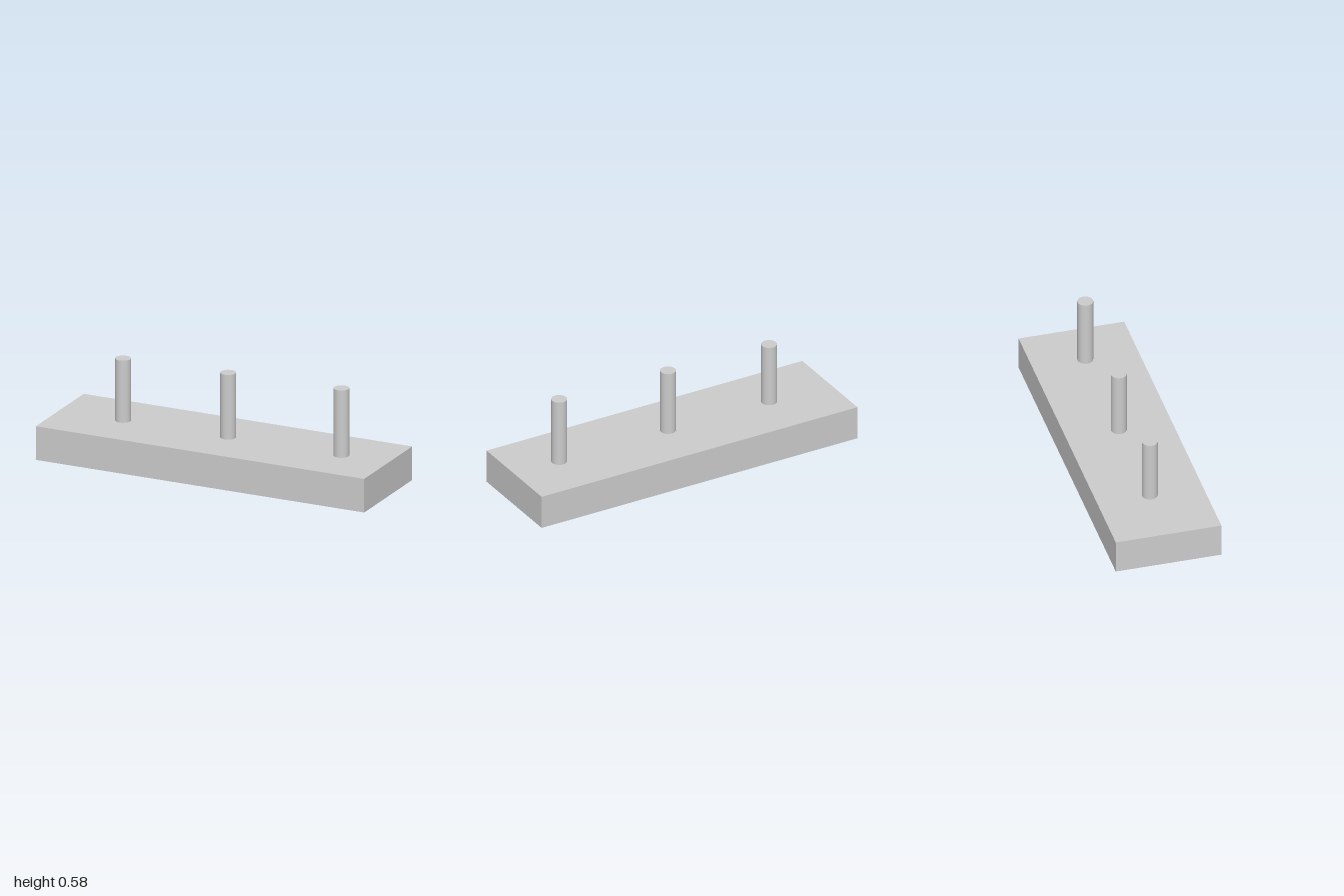
import * as THREE from 'three';

const grey = new THREE.MeshStandardMaterial({ color: 0xcccccc });
const yellow = new THREE.MeshStandardMaterial({ color: 0xd0b820 });
const navy = new THREE.MeshStandardMaterial({ color: 0x36424f });

const LENGTH = 2, DEPTH = 0.6, HEIGHT = 0.195, WALL = 0.03;

function add(parent, name, geometry, material, x, y, z) {
  const mesh = new THREE.Mesh(geometry, material);
  mesh.name = name;
  mesh.position.set(x, y, z);
  parent.add(mesh);
  return mesh;
}

// Cylinder lying along x
function barX(radius, length, sides) {
  return new THREE.CylinderGeometry(radius, radius, length, sides).rotateZ(Math.PI / 2);
}

// Housing open at the bottom: a rectangular rim under a closed top plate
function buildHousing() {
  const housing = new THREE.Group();
  housing.name = 'housing';
  const rect = (target, w, d) => {
    target.moveTo(-w / 2, -d / 2);
    target.lineTo(w / 2, -d / 2);
    target.lineTo(w / 2, d / 2);
    target.lineTo(-w / 2, d / 2);
    target.closePath();
    return target;
  };
  const rim = rect(new THREE.Shape(), LENGTH, DEPTH);
  rim.holes.push(rect(new THREE.Path(), LENGTH - 2 * WALL, DEPTH - 2 * WALL));
  const walls = new THREE.ExtrudeGeometry(rim, { depth: HEIGHT - WALL, bevelEnabled: false });
  walls.rotateX(-Math.PI / 2);
  add(housing, 'sideWalls', walls, grey, 0, 0, 0);
  add(housing, 'topPlate', new THREE.BoxGeometry(LENGTH, WALL, DEPTH), grey, 0, HEIGHT - WALL / 2, 0);
  return housing;
}

// Lamp tube with a socket and a short mounting neck at both ends
function buildLamp(z) {
  const lamp = new THREE.Group();
  lamp.name = 'lamp';
  lamp.position.set(0, 0.081, z);
  add(lamp, 'lampTube', barX(0.027, 1.7, 20), yellow, 0, 0, 0);
  for (const side of [-1, 1]) {
    add(lamp, 'socket', barX(0.06, 0.09, 20), navy, side * 0.88, 0, 0);
    add(lamp, 'socketNeck', barX(0.03, 0.06, 16), navy, side * 0.945, 0, 0);
  }
  return lamp;
}

export function createModel() {
  const model = new THREE.Group();
  model.name = 'hangingLampFixture';
  model.add(buildHousing());
  for (const z of [-0.177, 0, 0.177]) model.add(buildLamp(z));

  // Hanging rods of slightly different heights
  for (const [x, top] of [[-0.615, 0.555], [0.025, 0.57], [0.715, 0.585]]) {
    const h = top - HEIGHT + 0.01;
    add(model, 'hangingRod', new THREE.CylinderGeometry(0.044, 0.044, h, 24), grey, x, top - h / 2, 0);
  }
  return model;
}
